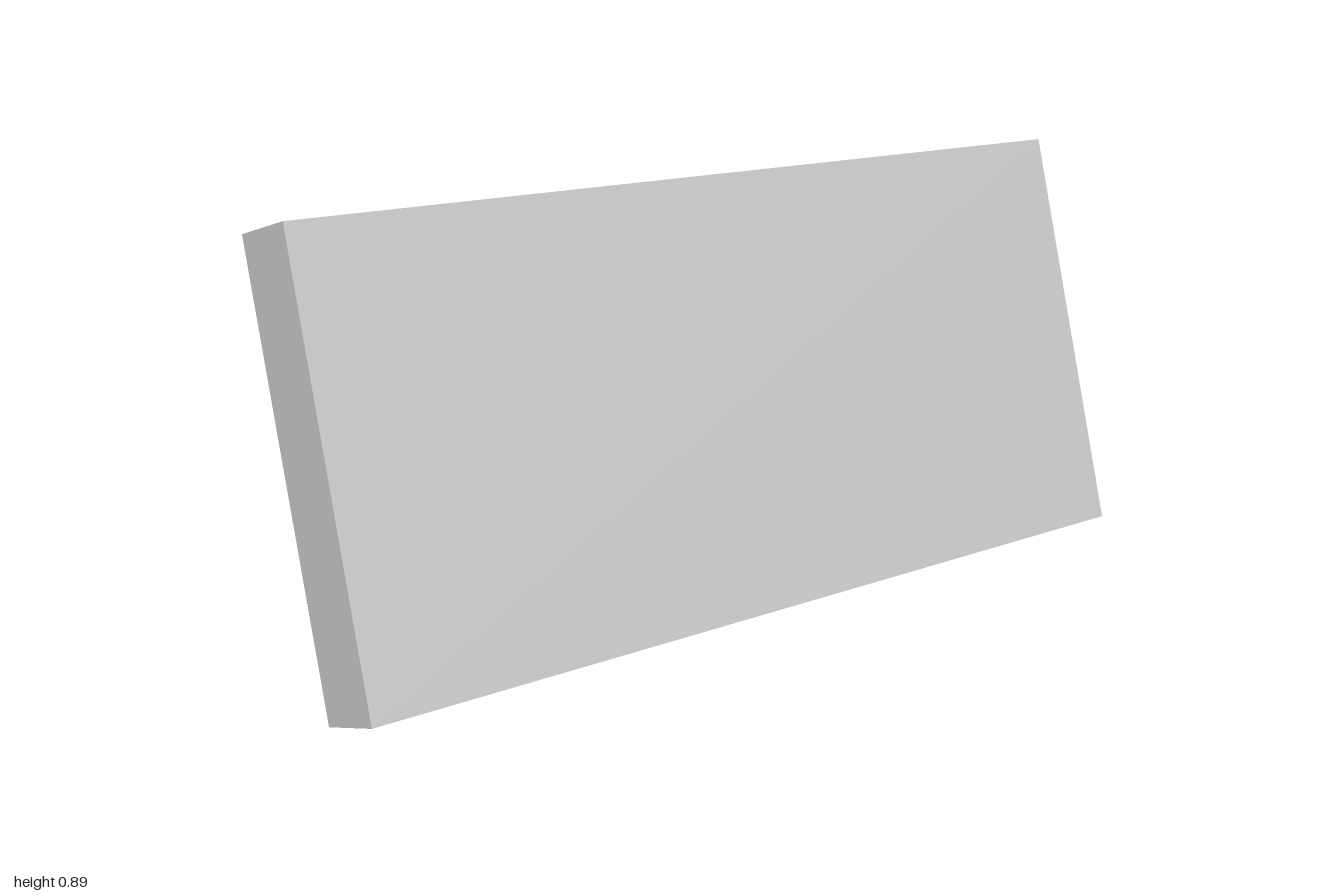
import * as THREE from 'three';

const material = new THREE.MeshStandardMaterial({ color: 0xcccccc });

// Extrude a side profile of [z, y] points along x, centred on the given x
function sideExtrude(name, profile, width, x) {
  const shape = new THREE.Shape(profile.map(([z, y]) => new THREE.Vector2(-z, y)));
  const geometry = new THREE.ExtrudeGeometry(shape, { depth: width, bevelEnabled: false });
  geometry.translate(0, 0, -width / 2).rotateY(Math.PI / 2);
  const mesh = new THREE.Mesh(geometry, material);
  mesh.name = name;
  mesh.position.x = x;
  return mesh;
}

// Round bar running along x between the supports
function crossBar(name, radius, length, y, z) {
  const geometry = new THREE.CylinderGeometry(radius, radius, length, 24).rotateZ(Math.PI / 2);
  const mesh = new THREE.Mesh(geometry, material);
  mesh.name = name;
  mesh.position.set(0, y, z);
  return mesh;
}

export function createModel() {
  const group = new THREE.Group();
  group.name = 'leaningPanel';

  // Thick slab leaning backwards
  const slab = [[0.342, 0.038], [0.115, 0.89], [-0.024, 0.852], [0.204, 0]];
  group.add(sideExtrude('frontPanel', slab, 2, 0));

  // Two rear supports with an arched underside
  const support = [
    [0.204, 0], [-0.024, 0.852], [-0.079, 0.852], [-0.339, 0.363], [-0.342, 0], [-0.275, 0],
    [-0.207, 0.05], [-0.137, 0.079], [-0.07, 0.087], [0, 0.087], [0.07, 0.069], [0.137, 0.036],
  ];
  for (const [name, side] of [['leftSupport', 1], ['rightSupport', -1]]) {
    group.add(sideExtrude(name, support, 0.14, side * 0.527));
  }

  // Bars joining the supports
  group.add(crossBar('lowerBar', 0.04, 0.94, 0.14, -0.265));
  group.add(crossBar('upperBar', 0.014, 0.94, 0.76, -0.058));

  return group;
}
